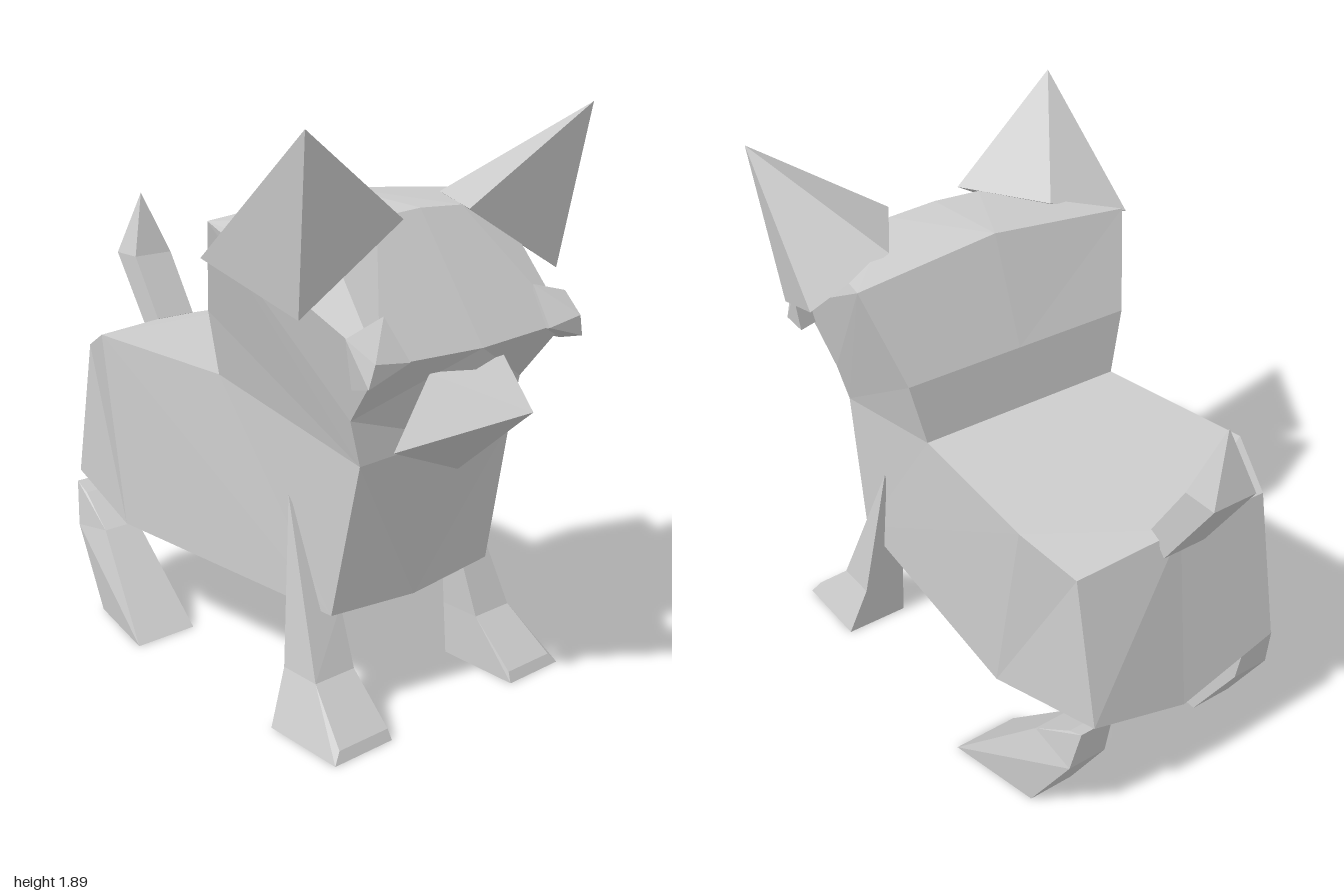
import * as THREE from 'three';
import { ConvexGeometry } from 'three/addons/geometries/ConvexGeometry.js';

const coat = new THREE.MeshStandardMaterial({ color: 0xcccccc });
coat.name = 'pale grey coat';

// Faceted solid around a few corner points; side = -1 mirrors it
function hull(name, points, side = 1) {
  const corners = points.map(([x, y, z]) => new THREE.Vector3(x * side, y, z));
  const mesh = new THREE.Mesh(new ConvexGeometry(corners), coat);
  mesh.name = name;
  return mesh;
}

// Mirrored skin from half-model points; each triangle is turned away from the core
function mirroredSkin(name, p, faces, core) {
  const out = [];
  const centre = new THREE.Vector3(...core);
  for (const side of [1, -1]) {
    for (const face of faces) {
      const v = face.split(' ').map((k) => new THREE.Vector3(p[k][0] * side, p[k][1], p[k][2]));
      for (let i = 1; i < v.length - 1; i++) {
        let [a, b, c] = [v[0], v[i], v[i + 1]];
        const n = b.clone().sub(a).cross(c.clone().sub(a));
        if (n.dot(a.clone().sub(centre)) < 0) [b, c] = [c, b];
        out.push(...a.toArray(), ...b.toArray(), ...c.toArray());
      }
    }
  }
  const geometry = new THREE.BufferGeometry();
  geometry.setAttribute('position', new THREE.Float32BufferAttribute(out, 3));
  geometry.computeVertexNormals();
  const mesh = new THREE.Mesh(geometry, coat);
  mesh.name = name;
  return mesh;
}

// Rectangle of four corners at height y
const quad = (x0, x1, y, z0, z1) => [[x0, y, z0], [x1, y, z0], [x0, y, z1], [x1, y, z1]];

export function createModel() {
  const model = new THREE.Group();
  model.name = 'dog';

  // Body and head as one skin (a trailing C marks the centre line)
  const p = {
    rumpC: [0, 1.02, -0.79], rump: [0.37, 0.98, -0.76],
    seat: [0.37, 0.47, -0.865], seatC: [0, 0.36, -0.865],
    hipC: [0, 1.065, -0.57], hip: [0.44, 1.065, -0.57],
    flank: [0.445, 0.4, -0.45], bellyC: [0, 0.27, -0.3],
    neckC: [0, 1.04, 0.02], neck: [0.38, 1.04, 0.02],
    breast: [0.35, 0.37, 0.53], breastC: [0, 0.345, 0.54],
    chest: [0.33, 0.88, 0.63], chestC: [0, 0.92, 0.69],
    napeC: [0, 1.26, 0.035], nape: [0.43, 1.26, 0.035],
    crownC: [0, 1.62, 0.17], crown: [0.52, 1.57, 0.16],
    foreheadC: [0, 1.6, 0.53], forehead: [0.18, 1.59, 0.53],
    temple: [0.38, 1.46, 0.6], jaw: [0.37, 1.03, 0.63],
    browC: [0, 1.22, 0.8], brow: [0.4, 1.23, 0.78],
  };
  model.add(mirroredSkin('bodyAndHead', p, [
    'rumpC rump seat seatC', 'rumpC rump hip hipC', 'rump hip flank seat',
    'seat flank bellyC seatC', 'hipC hip neck neckC', 'hip neck breast flank',
    'flank breast breastC bellyC', 'neckC neck nape napeC', 'napeC nape crown crownC',
    'neck nape chest', 'neck chest breast', 'nape crown chest',
    'crown temple brow', 'crown brow jaw', 'crown jaw chest',
    'chest breast breastC chestC', 'chestC chest jaw', 'chestC jaw browC', 'browC jaw brow',
    'foreheadC forehead brow browC', 'forehead temple brow',
    'crownC crown forehead foreheadC', 'crown temple forehead',
  ], [0, 0.8, 0.15]));

  // Pointed muzzle
  model.add(hull('muzzle', [
    [0, 1.07, 1], [0.16, 1.16, 0.74], [-0.16, 1.16, 0.74],
    [0.28, 0.935, 0.72], [-0.28, 0.935, 0.72], [0, 0.82, 0.715], [0, 1.17, 0.68],
  ]));

  // Tail: slanted stalk and pointed tip
  const tailMid = [...quad(-0.08, 0.08, 1.245, -1, -0.88)];
  const tailBase = [-0.08, 0.08].flatMap((x) => [[x, 1.03, -0.745], [x, 0.96, -0.81]]);
  model.add(hull('tailStalk', [...tailBase, ...tailMid]));
  model.add(hull('tailTip', [...tailMid, [0, 1.47, -0.95]]));

  for (const side of [1, -1]) {
    const prefix = side > 0 ? 'left' : 'right';

    // Ear
    model.add(hull(prefix + 'Ear', [
      [0.595, 1.89, 0.69], [0.63, 1.49, 0.27], [0.55, 1.355, 0.61],
      [0.14, 1.59, 0.6], [0.32, 1.59, 0.3],
    ], side));

    // Eye block
    model.add(hull(prefix + 'Eye', [
      [0.3, 1.23, 0.8], [0.32, 1.35, 0.71], [0.44, 1.25, 0.805], [0.47, 1.31, 0.715],
      [0.45, 1.16, 0.72], [0.32, 1.2, 0.71], [0.46, 1.18, 0.8],
    ], side));

    // Front leg and paw
    const shin = quad(0.28, 0.44, 0.18, 0.41, 0.56);
    model.add(hull(prefix + 'FrontLeg', [
      [0.365, 0.72, 0.345], [0.275, 0.37, 0.4], [0.275, 0.37, 0.49], ...shin,
    ], side));
    model.add(hull(prefix + 'FrontPaw', [
      ...shin, ...quad(0.275, 0.51, 0, 0.43, 0.73), [0.28, 0.035, 0.715], [0.48, 0.035, 0.715],
    ], side));

    // Hind leg and paw
    const hock = [0.28, 0.42].flatMap((x) => [[x, 0.31, -0.63], [x, 0.28, -0.81]]);
    model.add(hull(prefix + 'HindLeg', [
      ...hock, [0.28, 0.44, -0.84], [0.4, 0.44, -0.84], [0.28, 0.41, -0.78], [0.4, 0.41, -0.78],
    ], side));
    model.add(hull(prefix + 'HindPaw', [
      ...hock, [0.275, 0, -0.635], [0.44, 0, -0.635], [0.275, 0, -0.3], [0.51, 0, -0.3],
    ], side));
  }
  return model;
}
